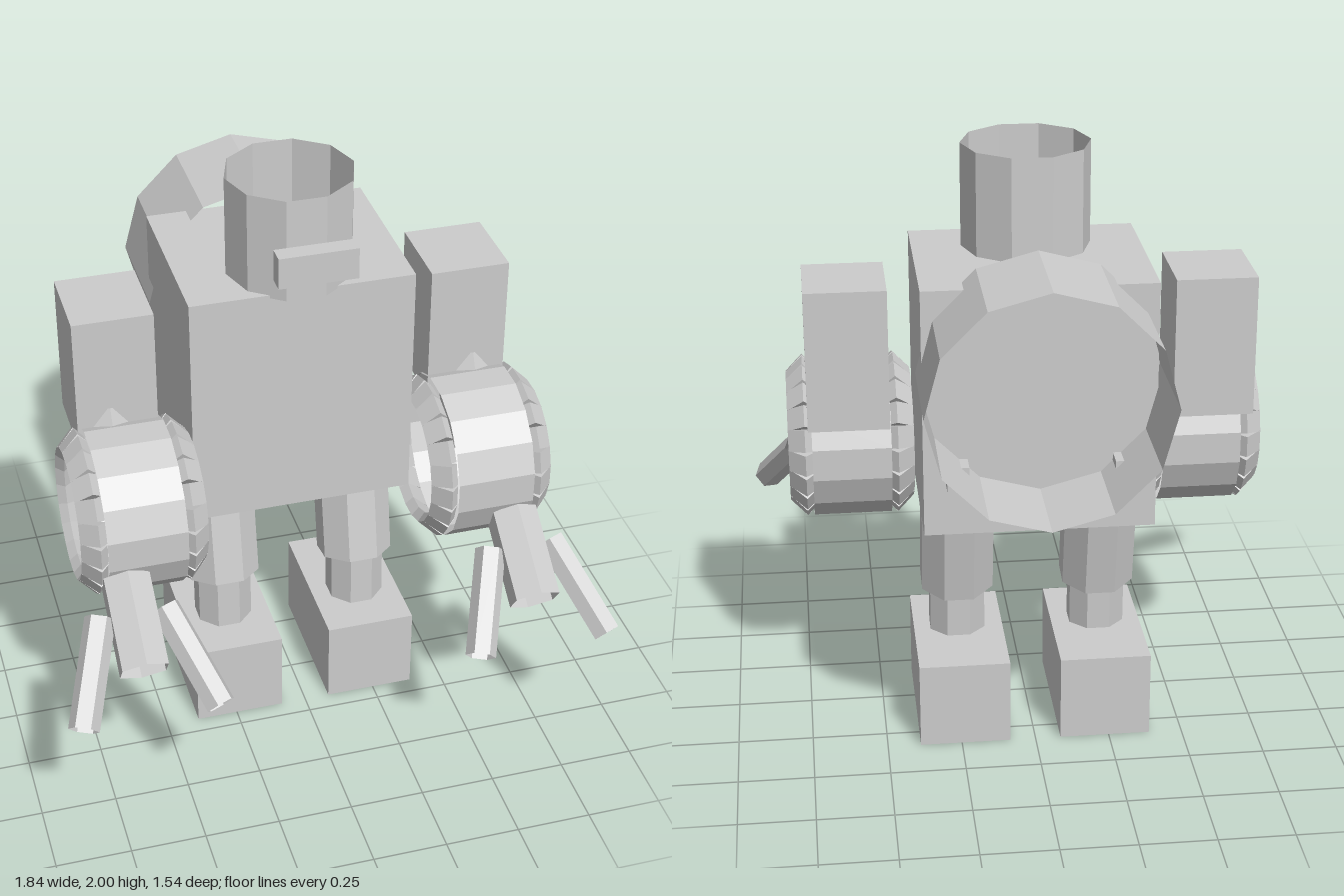
import * as THREE from 'three';

export function createModel() {
  const root = new THREE.Group();
  root.name = 'robot';
  const grey = new THREE.MeshStandardMaterial({ color: 0xcccccc, flatShading: true, side: THREE.DoubleSide });
  grey.name = 'light grey';

  const add = (parent, name, geo) => {
    const m = new THREE.Mesh(geo, grey);
    m.name = name;
    parent.add(m);
    return m;
  };
  // box given by its minimum and maximum corners
  const box = (parent, name, a, b) => {
    const m = add(parent, name, new THREE.BoxGeometry(b[0] - a[0], b[1] - a[1], b[2] - a[2]));
    m.position.set((a[0] + b[0]) / 2, (a[1] + b[1]) / 2, (a[2] + b[2]) / 2);
    return m;
  };
  // open tube between two points
  const tube = (parent, name, a, b, r, sides, spin = 0) => {
    const p = new THREE.Vector3(...a), q = new THREE.Vector3(...b);
    const geo = new THREE.CylinderGeometry(r, r, p.distanceTo(q), sides, 1, true).rotateY(spin);
    const m = add(parent, name, geo);
    m.position.copy(p).add(q).multiplyScalar(0.5);
    m.quaternion.setFromUnitVectors(new THREE.Vector3(0, 1, 0), q.sub(p).normalize());
    return m;
  };

  // body, head, visor and the large ring on the back
  box(root, 'torso', [-0.37, 0.84, -0.45], [0.37, 1.66, 0.15]);
  tube(root, 'head', [0, 1.65, -0.017], [0, 2, -0.017], 0.21, 10, Math.PI / 10);
  box(root, 'visor', [-0.125, 1.775, 0.25], [0.13, 1.88, 0.31]);
  tube(root, 'backRing', [0, 1.37, -0.77], [0, 1.37, -0.38], 0.385, 12);

  for (const s of [-1, 1]) {
    const side = s > 0 ? 'left' : 'right';

    // leg
    const leg = new THREE.Group();
    leg.name = side + 'Leg';
    root.add(leg);
    const lx = s * 0.24;
    tube(leg, 'thigh', [lx, 0.47, -0.035], [lx, 0.9, -0.12], 0.13, 8, Math.PI / 8);
    tube(leg, 'shin', [lx, 0.25, -0.026], [lx, 0.52, -0.035], 0.1, 8, Math.PI / 8);
    const foot = box(leg, 'foot', [-0.152, 0, -0.335], [0.152, 0.295, 0.19]);
    foot.position.x = s * 0.237;

    // small lug beside the back ring
    const lug = box(root, side + 'Lug', [-0.035, 1.02, -0.52], [0.035, 1.1, -0.44]);
    lug.position.x = s * 0.265;

    // shoulder and upper arm
    const arm = new THREE.Group();
    arm.name = side + 'Arm';
    root.add(arm);
    const shoulder = box(arm, 'shoulder', [-0.132, 1.12, -0.235], [0.132, 1.59, 0.05]);
    shoulder.position.x = s * 0.592;
    tube(arm, 'upperArm', [s * 0.615, 0.94, 0.11], [s * 0.615, 1.22, -0.035], 0.1, 6);

    // forearm drum with a bevelled row of teeth on each rim
    const drum = new THREE.Group();
    drum.name = 'forearmDrum';
    drum.position.set(s * 0.582, 0.95, 0.15);
    arm.add(drum);
    tube(drum, 'drumWall', [-0.13, 0, 0], [0.13, 0, 0], 0.276, 16, Math.PI / 16);
    for (const e of [-1, 1]) {
      for (let i = 0; i < 20; i++) {
        const geo = new THREE.BoxGeometry(0.078, 0.037, 0.073);
        geo.rotateZ(-e * Math.PI / 4);
        geo.translate(e * 0.167, 0.231, 0);
        geo.rotateX((i / 20) * Math.PI * 2);
        add(drum, 'tooth', geo);
      }
    }

    // three-fingered hand
    const hx = s * 0.655;
    tube(arm, 'middleFinger', [hx, 0.83, 0.38], [hx, 0.65, 0.63], 0.086, 6);
    for (const e of [-1, 1]) {
      tube(arm, 'sideFinger', [hx + e * 0.105, 0.765, 0.475], [hx + e * 0.22, 0.545, 0.735], 0.05, 6);
    }
  }
  return root;
}
